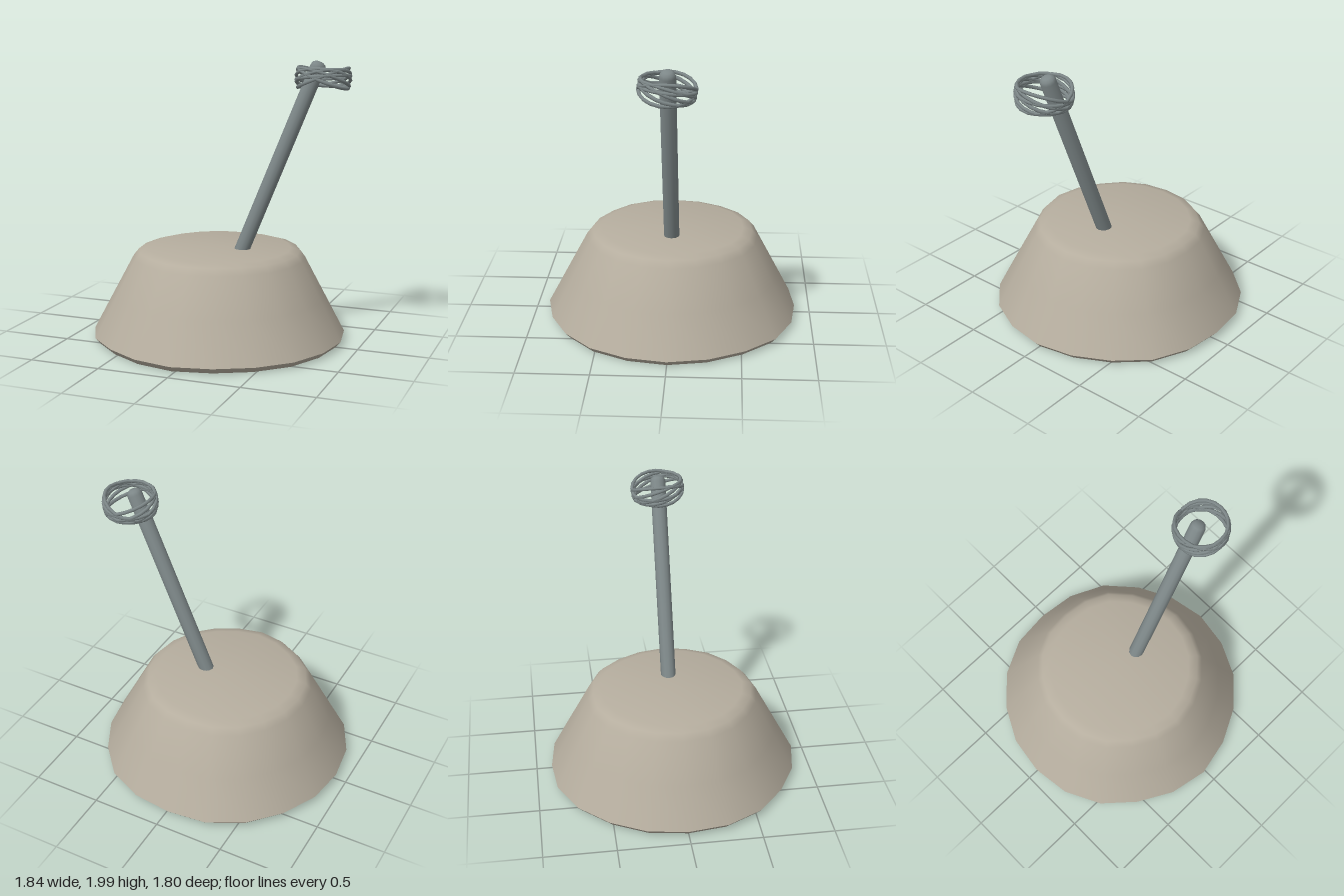
import * as THREE from 'three';
import { toCreasedNormals } from 'three/addons/utils/BufferGeometryUtils.js';

const stone = new THREE.MeshStandardMaterial({ color: 0xb5ad9e });
const metal = new THREE.MeshStandardMaterial({ color: 0x7d8788 });

function addMesh(parent, name, geometry, material) {
  const mesh = new THREE.Mesh(geometry, material);
  mesh.name = name;
  parent.add(mesh);
  return mesh;
}

// Tapered stone base with a rounded rim and slightly uneven outline
function stoneBase() {
  const profile = [
    [0, 0.005], [0.865, 0.005], [0.9, 0.045], [0.755, 0.32], [0.612, 0.59],
    [0.575, 0.635], [0.51, 0.655], [0, 0.655],
  ].map(([r, y]) => new THREE.Vector2(r, y));
  const geometry = new THREE.LatheGeometry(profile, 20);
  const p = geometry.attributes.position;
  for (let i = 0; i < p.count; i++) {
    const a = Math.atan2(p.getZ(i), p.getX(i));
    const k = 1 + 0.007 * Math.sin(5 * a) + 0.006 * Math.cos(7 * a + 1);
    p.setXYZ(i, p.getX(i) * k, p.getY(i), p.getZ(i) * k);
  }
  return toCreasedNormals(geometry, 0.9);
}

// Rod with a softened tip, built upright from its lower end
function rodGeometry(length, r) {
  const profile = [
    [0, 0], [r, 0], [r, length - 0.035], [r * 0.85, length - 0.012],
    [r * 0.5, length], [0, length],
  ].map(([x, y]) => new THREE.Vector2(x, y));
  return toCreasedNormals(new THREE.LatheGeometry(profile, 12), 0.9);
}

export function createModel() {
  const model = new THREE.Group();
  model.name = 'stoneWithRod';

  addMesh(model, 'base', stoneBase(), stone).position.x = -0.025;

  // Leaning rod, its foot sunk into the base
  const foot = new THREE.Vector3(0.125, 0.6, 0);
  const tip = new THREE.Vector3(0.697, 1.983, 0);
  const axis = tip.clone().sub(foot);
  const rod = addMesh(model, 'rod', rodGeometry(axis.length(), 0.054), metal);
  rod.position.copy(foot);
  rod.quaternion.setFromUnitVectors(new THREE.Vector3(0, 1, 0), axis.normalize());

  // Loose wire rings around the tip, each tilted by its slopes in x and z
  const rings = new THREE.Group();
  rings.name = 'wireRings';
  rings.position.set(0.722, 1.88, 0);
  const slopes = [[0.4, 0.03], [-0.4, 0.03], [0.25, 0.3], [-0.25, 0.32], [0.02, 0.42], [0.1, 0.12]];
  const wire = new THREE.TorusGeometry(0.183, 0.0125, 6, 20);
  const forward = new THREE.Vector3(0, 0, 1);
  slopes.forEach(([sx, sz], i) => {
    const ring = addMesh(rings, 'wireRing' + (i + 1), wire, metal);
    ring.quaternion.setFromUnitVectors(forward, new THREE.Vector3(-sx, 1, -sz).normalize());
  });
  model.add(rings);

  return model;
}
